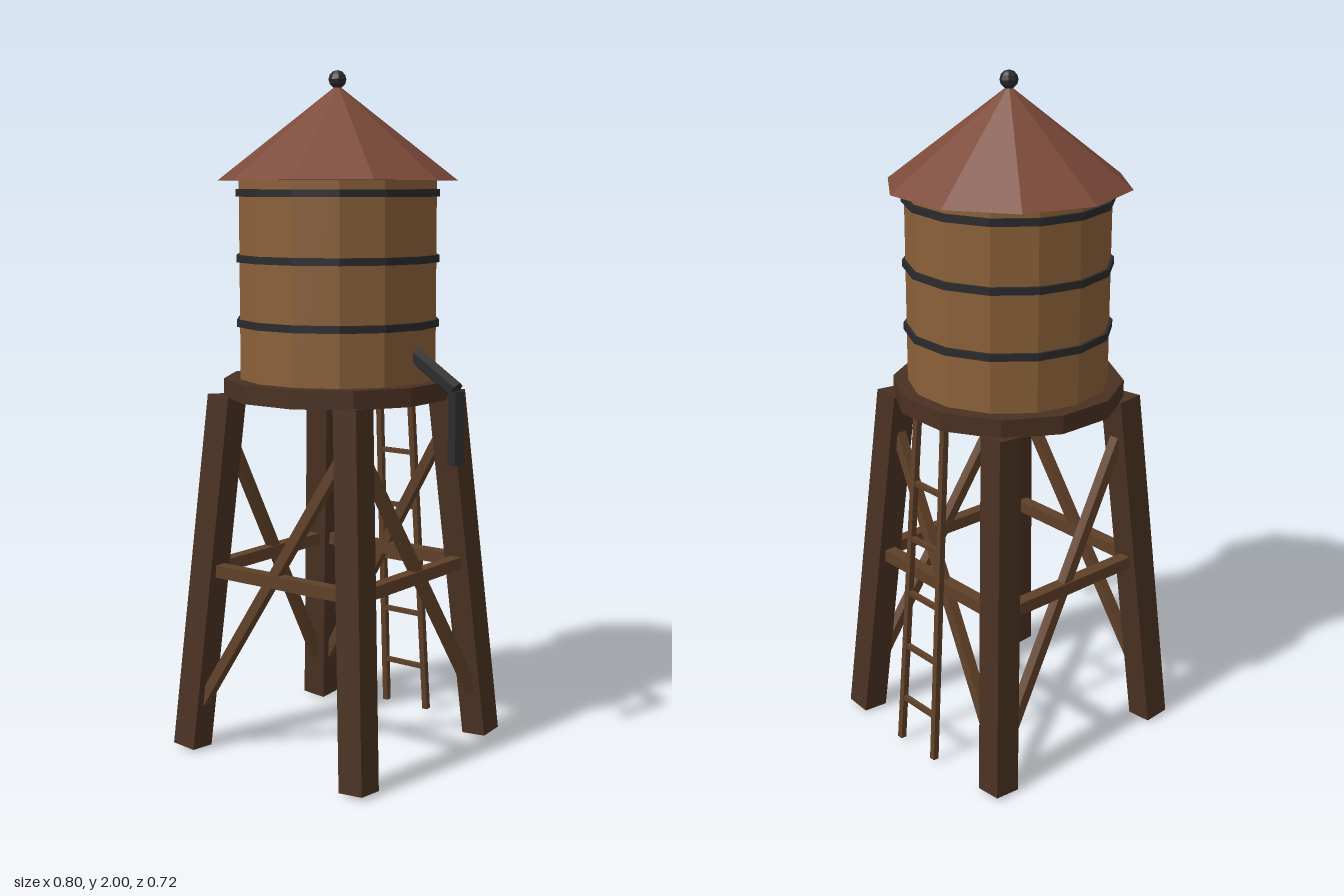
import * as THREE from 'three';

const mat = (color) => new THREE.MeshStandardMaterial({ color, flatShading: true });

export function createModel() {
  const plank = mat(0x8a6039), shingle = mat(0x7c4a39), timber = mat(0x4a3122);
  const brace = mat(0x5f4028), iron = mat(0x2a2a2c);

  const model = new THREE.Group();
  model.name = 'waterTower';
  const tower = new THREE.Group();
  tower.name = 'tower';
  tower.position.set(-0.045, 0, 0.006);
  model.add(tower);

  const add = (name, geometry, material, y = 0, turn = 0) => {
    const mesh = new THREE.Mesh(geometry, material);
    mesh.name = name;
    mesh.position.y = y;
    mesh.rotation.y = turn;
    tower.add(mesh);
    return mesh;
  };

  // Lays a y-aligned geometry of matching length between two points
  const UP = new THREE.Vector3(0, 1, 0);
  const span = (name, a, b, makeGeometry, material) => {
    const from = new THREE.Vector3(...a), to = new THREE.Vector3(...b);
    const dir = to.clone().sub(from);
    const mesh = add(name, makeGeometry(dir.length()), material);
    mesh.position.copy(from).add(to).multiplyScalar(0.5);
    mesh.quaternion.setFromUnitVectors(UP, dir.normalize());
    return mesh;
  };
  const beam = (name, a, b, size, material) =>
    span(name, a, b, (len) => new THREE.BoxGeometry(size, len, size), material);

  // Distance of the leg axis from the centre planes at height y
  const legAt = (y) => 0.314 - 0.0775 * y;

  // Splayed legs
  for (const sx of [-1, 1]) for (const sz of [-1, 1]) {
    const foot = legAt(0.004), head = legAt(1.063);
    beam('leg', [sx * foot, 0.004, sz * foot], [sx * head, 1.063, sz * head], 0.08, timber);
  }

  // Horizontal rails and one diagonal brace on each side
  const mid = legAt(0.545), low = legAt(0.09), high = legAt(0.98);
  for (const s of [-1, 1]) {
    beam('rail', [-mid, 0.545, s * mid], [mid, 0.545, s * mid], 0.037, brace);
    beam('rail', [s * mid, 0.545, -mid], [s * mid, 0.545, mid], 0.037, brace);
    beam('diagonalBrace', [-low, 0.09, s * low], [high, 0.98, s * high], 0.03, brace);
    beam('diagonalBrace', [s * low, 0.09, -low], [s * high, 0.98, high], 0.03, brace);
  }

  // Tapered ladder leaning at the back
  const ladderX = (y) => 0.078 - 0.018 * y;
  const ladderZ = (y) => -0.362 + 0.068 * y;
  for (const s of [-1, 1]) {
    beam('ladderRail', [s * ladderX(0.01), 0.01, ladderZ(0.01)],
      [s * ladderX(1.08), 1.08, ladderZ(1.08)], 0.018, brace);
  }
  for (let i = 0; i < 5; i++) {
    const y = 0.15 + i * 0.175;
    beam('ladderRung', [-ladderX(y), y, ladderZ(y)], [ladderX(y), y, ladderZ(y)], 0.014, brace);
  }

  // Platform, tank and iron hoops
  add('platform', new THREE.CylinderGeometry(0.336, 0.336, 0.054, 12), timber, 1.087, Math.PI / 12);
  add('tank', new THREE.CylinderGeometry(0.291, 0.291, 0.58, 14), plank, 1.4, Math.PI / 2);
  for (const y of [1.278, 1.464, 1.651]) {
    add('hoop', new THREE.CylinderGeometry(0.3, 0.3, 0.021, 14), iron, y, Math.PI / 2);
  }

  // Roof and finial
  add('roof', new THREE.ConeGeometry(0.349, 0.272, 10), shingle, 1.823, Math.PI / 2);
  add('finial', new THREE.SphereGeometry(0.026, 8, 6), iron, 1.974);

  // Spout: sloping arm and downpipe
  const pipe = (len) => new THREE.CylinderGeometry(0.025, 0.025, len, 6).rotateY(Math.PI / 2);
  span('spoutArm', [0.418, 1.106, 0], [0.23, 1.226, 0], pipe, iron);
  span('spoutDownpipe', [0.418, 0.895, 0], [0.418, 1.103, 0], pipe, iron);

  return model;
}
